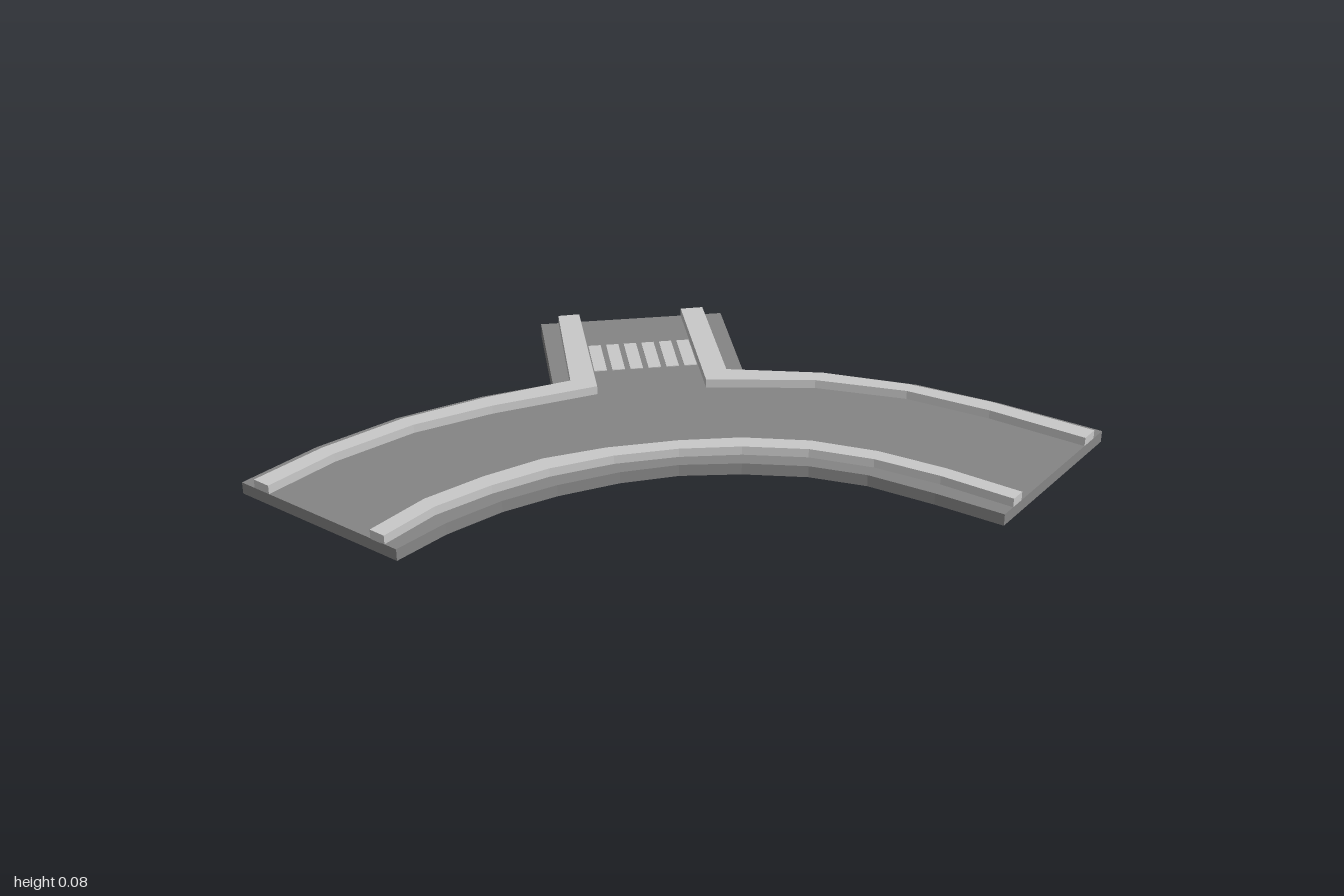
import * as THREE from 'three';

const roadGrey = new THREE.MeshStandardMaterial({ name: 'roadGrey', color: 0x858585, side: THREE.DoubleSide });
const kerbGrey = new THREE.MeshStandardMaterial({ name: 'kerbGrey', color: 0xc9c9c9 });

// Extrude a plan outline of [x, z] points between two heights
function slab(name, points, bottom, top, material) {
  const shape = new THREE.Shape(points.map(([x, z]) => new THREE.Vector2(x, -z)));
  const geometry = new THREE.ExtrudeGeometry(shape, { depth: top - bottom, bevelEnabled: false });
  geometry.rotateX(-Math.PI / 2).translate(0, bottom, 0);
  const mesh = new THREE.Mesh(geometry, material);
  mesh.name = name;
  return mesh;
}

function box(name, size, position, material) {
  const mesh = new THREE.Mesh(new THREE.BoxGeometry(...size), material);
  mesh.position.set(...position);
  mesh.name = name;
  return mesh;
}

export function createModel() {
  const model = new THREE.Group();
  model.name = 'roadJunction';

  // Curved main road
  const outerBack = [[-0.958, -1], [-0.66, -0.979], [-0.36, -0.91], [-0.08, -0.788], [0.138, -0.656]];
  const outerFront = [[0.608, -0.196], [0.767, 0.058], [0.873, 0.344], [0.921, 0.635], [0.947, 1]];
  const innerEdge = [[-0.958, -0.339], [-0.762, -0.323], [-0.561, -0.275], [-0.386, -0.201], [-0.206, -0.095],
    [-0.058, 0.026], [0.069, 0.18], [0.18, 0.36], [0.243, 0.54], [0.27, 0.767], [0.286, 1]];
  model.add(slab('mainRoad', [...outerBack, ...outerFront, ...innerEdge.reverse()], 0.01, 0.05, roadGrey));

  // Kerb along the inside of the bend
  const innerKerbFar = [[-0.958, -0.444], [-0.73, -0.439], [-0.519, -0.386], [-0.323, -0.312], [-0.148, -0.196],
    [0.026, -0.042], [0.164, 0.111], [0.28, 0.302], [0.349, 0.513], [0.381, 0.741], [0.392, 1]];
  const innerKerbNear = [[-0.958, -0.386], [-0.746, -0.381], [-0.545, -0.328], [-0.36, -0.254], [-0.175, -0.143],
    [-0.016, -0.005], [0.116, 0.148], [0.228, 0.328], [0.296, 0.529], [0.328, 0.751], [0.339, 1]];
  model.add(slab('innerKerb', [...innerKerbFar, ...innerKerbNear.reverse()], 0.048, 0.08, kerbGrey));

  // Outer kerbs, turning into the side road
  model.add(slab('outerKerbBack', [
    [-0.958, -0.942], [-0.688, -0.921], [-0.386, -0.852], [-0.116, -0.735], [0.148, -0.587], [0.521, -0.951],
    [0.577, -0.899], [0.169, -0.487], [-0.148, -0.677], [-0.402, -0.794], [-0.693, -0.862], [-0.958, -0.878],
  ], 0.048, 0.08, kerbGrey));
  model.add(slab('outerKerbFront', [
    [0.836, -0.632], [0.894, -0.577], [0.534, -0.212], [0.709, 0.069], [0.81, 0.349], [0.862, 0.635], [0.884, 1],
    [0.82, 1], [0.804, 0.661], [0.762, 0.37], [0.646, 0.079], [0.429, -0.222],
  ], 0.048, 0.08, kerbGrey));

  // Side road: hollow below, with local +x pointing away from the bend
  const side = new THREE.Group();
  side.name = 'sideRoad';
  side.position.set(0.501, 0, -0.554);
  side.rotation.y = Math.PI / 4;
  const length = 0.594, width = 0.66, wall = 0.004;
  const deck = new THREE.Mesh(new THREE.PlaneGeometry(length, width).rotateX(-Math.PI / 2), roadGrey);
  deck.position.y = 0.05;
  deck.name = 'sideRoadDeck';
  side.add(deck);
  for (const s of [-1, 1]) {
    side.add(box('sideWall', [length, 0.05, wall], [0, 0.025, s * (width - wall) / 2], roadGrey));
    side.add(box('endWall', [wall, 0.05, width], [s * (length - wall) / 2, 0.025, 0], roadGrey));
  }

  // Crossing stripes, showing on both faces of the deck
  for (let i = 0; i < 6; i++) {
    side.add(box('crossingStripe', [0.2, 0.005, 0.044], [-0.012, 0.05, (i - 2.5) * 0.063], kerbGrey));
  }
  model.add(side);
  return model;
}
